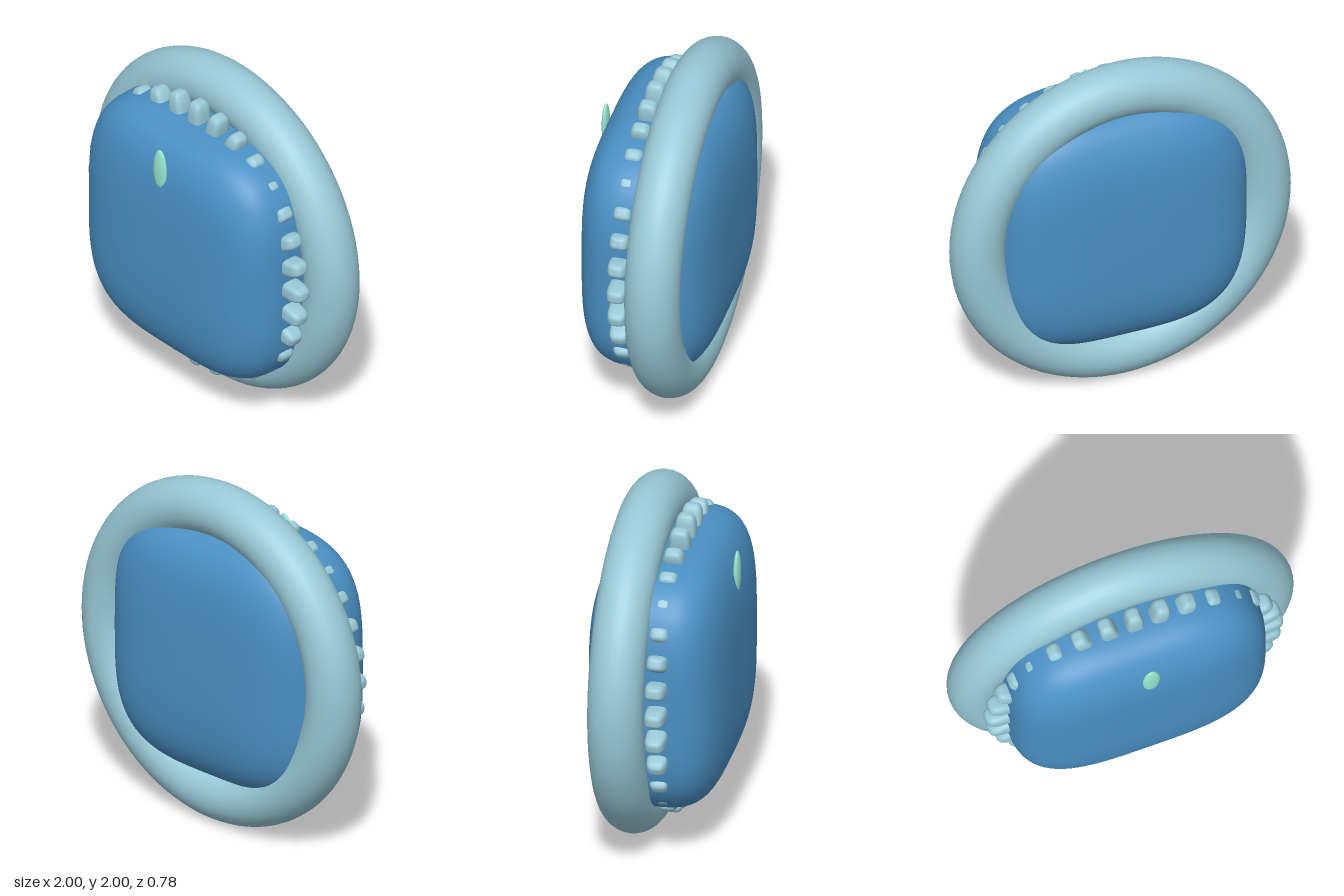
import * as THREE from 'three';

const BODY = 0x4a90c4, RIM = 0x98c8d6, MARK = 0x98e6d2;

function mesh(name, geometry, color) {
  const m = new THREE.Mesh(geometry, new THREE.MeshStandardMaterial({ color }));
  m.name = name;
  return m;
}

// Soft pillow shape: a cube grid pushed onto a superellipsoid
function pillow(a, b, c, n, segments) {
  const g = new THREE.BoxGeometry(2, 2, 2, segments, segments, segments);
  const pos = g.attributes.position, nor = g.attributes.normal;
  const v = new THREE.Vector3(), d = new THREE.Vector3();
  const slope = (t) => Math.sign(t) * Math.abs(t) ** (n - 1);
  for (let i = 0; i < pos.count; i++) {
    v.fromBufferAttribute(pos, i);
    // spread the grid evenly over the rounded form
    v.set(Math.tan(v.x * Math.PI / 4), Math.tan(v.y * Math.PI / 4), Math.tan(v.z * Math.PI / 4));
    const len = (Math.abs(v.x) ** n + Math.abs(v.y) ** n + Math.abs(v.z) ** n) ** (1 / n);
    v.divideScalar(len);
    d.set(slope(v.x) / a, slope(v.y) / b, slope(v.z) / c).normalize();
    pos.setXYZ(i, v.x * a, v.y * b, v.z * c);
    nor.setXYZ(i, d.x, d.y, d.z);
  }
  return g;
}

export function createModel() {
  const model = new THREE.Group();
  model.name = 'dial';

  // Cushion-shaped body running through the ring
  const body = mesh('body', pillow(0.745, 0.745, 0.39, 3.5, 32), BODY);
  body.position.set(0, 1, 0);
  model.add(body);

  // Round ring behind the teeth
  const ring = mesh('ring', new THREE.TorusGeometry(0.847, 0.153, 32, 96), RIM);
  ring.position.set(0, 1, -0.135);
  model.add(ring);

  // Circle of rounded teeth, slightly narrower at the tip
  const teeth = new THREE.Group();
  teeth.name = 'teeth';
  teeth.position.set(0, 1, 0.075);
  const toothShape = pillow(0.052, 0.125, 0.058, 3.6, 10);
  const p = toothShape.attributes.position;
  for (let i = 0; i < p.count; i++) p.setX(i, p.getX(i) * (1 - p.getY(i) * 1.2));
  const count = 32;
  for (let i = 0; i < count; i++) {
    const angle = (i / count) * Math.PI * 2;
    const tooth = mesh('tooth', toothShape, RIM);
    tooth.position.set(-Math.sin(angle) * 0.74, Math.cos(angle) * 0.74, 0);
    tooth.rotation.z = angle;
    teeth.add(tooth);
  }
  model.add(teeth);

  // Slim oval marker near the top of the face
  const marker = mesh('marker', new THREE.SphereGeometry(1, 32, 20), MARK);
  marker.scale.set(0.05, 0.13, 0.02);
  marker.position.set(0, 1.535, 0.36);
  model.add(marker);

  return model;
}
